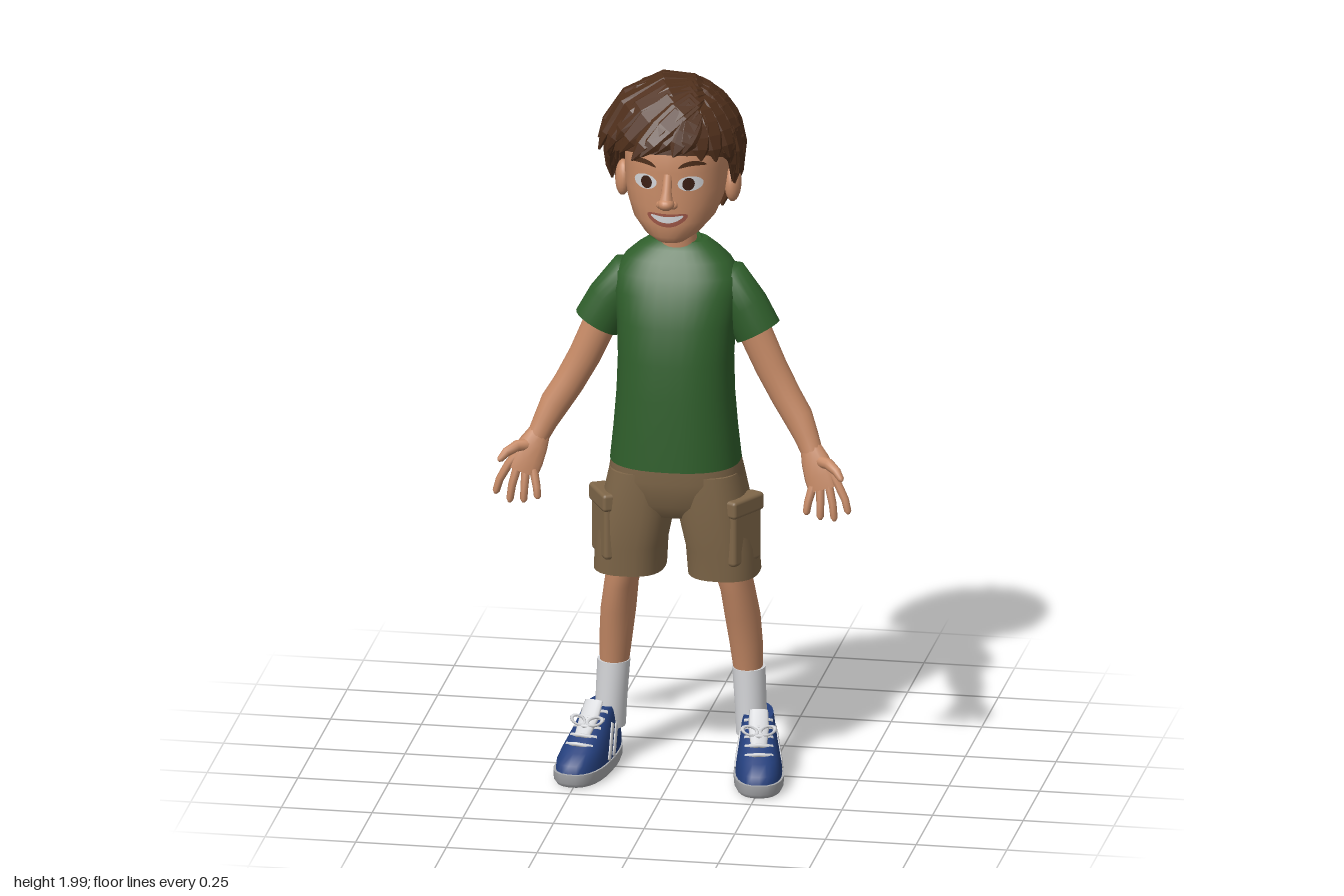
import * as THREE from 'three';
import { mergeGeometries } from 'three/addons/utils/BufferGeometryUtils.js';
import { RoundedBoxGeometry } from 'three/addons/geometries/RoundedBoxGeometry.js';

const mat = (name, color, side = THREE.FrontSide) => {
  const m = new THREE.MeshStandardMaterial({ color, side });
  m.name = name;
  return m;
};
const V = (x, y, z) => new THREE.Vector3(x, y, z);

// linear interpolation in a table whose first column is the key
function at(table, key) {
  let i = 0;
  while (i < table.length - 2 && key > table[i + 1][0]) i++;
  const a = table[i], b = table[i + 1];
  const t = THREE.MathUtils.clamp((key - a[0]) / (b[0] - a[0]), 0, 1);
  return a.map((v, k) => v + (b[k] - v) * t);
}

// skin over rings of points, with separate end caps
function loft(rings) {
  const n = rings[0].length, pos = [], idx = [];
  rings.forEach(r => r.forEach(p => pos.push(p.x, p.y, p.z)));
  for (let i = 0; i < rings.length - 1; i++) for (let j = 0; j < n; j++) {
    const a = i * n + j, b = i * n + (j + 1) % n;
    idx.push(a, a + n, b, b, a + n, b + n);
  }
  [rings[0], rings[rings.length - 1]].forEach((r, end) => {
    const base = pos.length / 3, c = V(0, 0, 0);
    r.forEach(p => { pos.push(p.x, p.y, p.z); c.addScaledVector(p, 1 / n); });
    pos.push(c.x, c.y, c.z);
    for (let j = 0; j < n; j++) {
      const a = base + j, b = base + (j + 1) % n;
      idx.push(...(end ? [base + n, b, a] : [base + n, a, b]));
    }
  });
  const g = new THREE.BufferGeometry();
  g.setAttribute('position', new THREE.Float32BufferAttribute(pos, 3));
  g.setIndex(idx);
  g.computeVertexNormals();
  return g;
}
function ring(c, u, v, p, n) {
  const f = t => Math.sign(t) * Math.abs(t) ** (2 / p);
  return Array.from({ length: n }, (_, j) => {
    const a = j / n * Math.PI * 2;
    return c.clone().addScaledVector(u, f(Math.cos(a))).addScaledVector(v, f(Math.sin(a)));
  });
}
// horizontal sections [y, centre x, front z, back z, half width], bottom to top
const stack = (secs, s = 1, p = 2.2, n = 28) => loft(secs.map(([y, x, f, b, r]) =>
  ring(V(x * s, y, (f + b) / 2), V(r, 0, 0), V(0, 0, (f - b) / 2), p, n)));

// sections [x, y, z, width, depth] square to a path; depth follows the hint
function limb(pts, hint = V(0, 0, 1), n = 12) {
  const c = pts.map(p => V(p[0], p[1], p[2]));
  return loft(pts.map((p, i) => {
    const t = c[Math.min(i + 1, c.length - 1)].clone().sub(c[Math.max(i - 1, 0)]).normalize();
    const h = typeof hint === 'function' ? hint(i) : hint;
    const v = h.clone().addScaledVector(t, -h.dot(t)).normalize();
    return ring(c[i], t.clone().cross(v).multiplyScalar(p[3]), v.multiplyScalar(p[4]), 2, n);
  }));
}

const HEAD = [[1.553, 0, .125, .03, .04], [1.575, 0, .147, -.03, .075], [1.615, 0, .15, -.09, .112],
  [1.66, 0, .15, -.13, .13], [1.70, 0, .15, -.15, .138], [1.76, 0, .148, -.16, .141],
  [1.82, 0, .148, -.16, .14], [1.88, 0, .12, -.14, .12], [1.93, 0, .05, -.08, .07]];
const UPPER = [[.03, 0, .205, -.14, .072], [.06, 0, .2, -.142, .07], [.085, 0, .165, -.14, .066],
  [.11, 0, .115, -.137, .062], [.14, 0, .06, -.135, .058], [.165, 0, .015, -.132, .054]];
const shoeTaper = z => .82 + 1.1 * z;

// patch bent onto the face
function facePatch(w, h, bend, x, y, tilt, off) {
  const g = new THREE.RingGeometry(0.001, 1, 28, 5), p = g.attributes.position;
  for (let i = 0; i < p.count; i++) {
    const a = p.getX(i), dx = a * w, dy = p.getY(i) * h + bend * a * a;
    const px = x + dx * Math.cos(tilt) - dy * Math.sin(tilt);
    const py = y + dx * Math.sin(tilt) + dy * Math.cos(tilt);
    const [, , f, b, r] = at(HEAD, py);
    const q = Math.min(1, Math.abs(px / r)) ** 2.2;
    p.setXYZ(i, px, py, (f + b) / 2 + (f - b) / 2 * (1 - q) ** (1 / 2.2) + off);
  }
  g.computeVertexNormals();
  return g;
}

// hair surface: unit direction to a point on the hair volume
const hairDir = (az, e) => V(Math.sin(az) * Math.cos(e), Math.sin(e), Math.cos(az) * Math.cos(e));
const hairPoint = (d, off = 0) => V(-.01 + d.x * (.173 + off), 1.785 + d.y * ((d.y > 0 ? .185 : .3) + off),
  -.015 + d.z * (.175 + off));
const HAIRLINE = [[0, .17], [.7, .13], [1.15, 0], [1.4, -.33], [1.6, -.22], [1.85, -.4], [2.2, -.72], [3.15, -.8]];
const hairEdge = az => at(HAIRLINE, Math.abs(Math.atan2(Math.sin(az), Math.cos(az))))[1];

function hairCap() {
  const rows = 12, n = 48, pos = [], idx = [];
  for (let i = 0; i <= rows; i++) for (let j = 0; j < n; j++) {
    const az = j / n * Math.PI * 2, e = THREE.MathUtils.lerp(1.56, hairEdge(az), i / rows);
    pos.push(...hairPoint(hairDir(az, e)).toArray());
    if (i < rows) {
      const a = i * n + j, b = i * n + (j + 1) % n;
      idx.push(a, a + n, b, b, a + n, b + n);
    }
  }
  const g = new THREE.BufferGeometry();
  g.setAttribute('position', new THREE.Float32BufferAttribute(pos, 3));
  g.setIndex(idx);
  g.computeVertexNormals();
  return g;
}
// flat pointed lock lying on the hair surface
function lock(d0, d1, width, lift) {
  const prof = [.5, .95, 1.05, .95, .65, .06], dirs = [];
  const pts = prof.map((w, i) => {
    const t = i / 5, d = d0.clone().lerp(d1, t).normalize();
    dirs.push(d);
    const p = hairPoint(d, .004 + lift * t * t);
    return [p.x, p.y, p.z, width * w, .017 * Math.min(1, w + .15)];
  });
  const g = limb(pts, i => dirs[i], 6).toNonIndexed();
  g.computeVertexNormals();
  return g;
}
function hairLocks() {
  let seed = 7;
  const jit = k => { seed = (seed * 16807) % 2147483647; return (seed / 2147483647 - .5) * 2 * k; };
  const out = [];
  // nape and sides
  for (let i = 0; i < 15; i++) {
    const az = 1.75 + i / 14 * 2.78;
    out.push(lock(hairDir(az + jit(.1), .5), hairDir(az + jit(.08), hairEdge(az) - .03 + jit(.06)), .036, .006));
  }
  // back of the crown
  for (let i = 0; i < 12; i++) {
    const az = 1.5 + i / 11 * 3.3;
    out.push(lock(hairDir(az, 1.25), hairDir(az - .15 + jit(.12), -.15 + jit(.15)), .04, .014));
  }
  // long sweep from the parting to the right
  for (let i = 0; i < 13; i++) {
    const t = i / 12, root = V(.5, .85, .62 - 1.2 * t).normalize();
    out.push(lock(root, hairDir(.3 - 2.3 * t + jit(.06), .2 - .2 * t + jit(.08)), .042, .02 + jit(.012)));
  }
  // short sweep to the left
  for (let i = 0; i < 7; i++) {
    const t = i / 6, root = V(.48, .85, .6 - 1.1 * t).normalize();
    out.push(lock(root, hairDir(.55 + 1.5 * t + jit(.06), .08 + jit(.1)), .04, .012));
  }
  // temples
  for (const s of [1, -1]) for (let i = 0; i < 3; i++)
    out.push(lock(hairDir(s * (1.1 + i * .16), .4), hairDir(s * (1.2 + i * .13), -.06 - .13 * i), .026, .0));
  return mergeGeometries(out);
}

export function createModel() {
  const root = new THREE.Group();
  root.name = 'boy';
  const M = {
    skin: mat('skin', 0xc68a66), hair: mat('brown hair', 0x4f2f1b, THREE.DoubleSide), shirt: mat('green cloth', 0x2f5e2b),
    shorts: mat('khaki cloth', 0x7f6749), shoe: mat('blue fabric', 0x243f7c), white: mat('white', 0xd2d3d6),
    sole: mat('grey rubber', 0xa9aaad), dark: mat('dark brown', 0x3a1e14), lip: mat('lips', 0x9c5646),
  };
  const add = (name, geo, m, parent = root) => {
    const mesh = new THREE.Mesh(geo, m);
    mesh.name = name;
    parent.add(mesh);
    return mesh;
  };
  const ball = (name, m, x, y, z, a, b, c) => {
    const o = add(name, new THREE.SphereGeometry(1, 18, 12), m);
    o.position.set(x, y, z);
    o.scale.set(a, b, c);
    return o;
  };

  // head and face
  add('head', stack(HEAD), M.skin);
  add('neck', stack([[1.44, 0, .03, -.08, .062], [1.5, 0, .026, -.068, .05], [1.61, 0, .04, -.07, .05]]), M.skin);
  add('noseBridge', limb([[0, 1.755, .142, .012, .01], [0, 1.71, .157, .014, .014], [0, 1.68, .168, .02, .016]]), M.skin);
  ball('noseTip', M.skin, 0, 1.678, .166, .023, .018, .024);
  add('lips', facePatch(.056, .019, .014, 0, 1.626, 0, .003), M.lip);
  add('teeth', facePatch(.045, .009, .012, 0, 1.629, 0, .006), M.white);
  for (const s of [1, -1]) {
    add('eyeWhite', facePatch(.033, .021, 0, s * .062, 1.732, 0, .003), M.white);
    add('iris', facePatch(.016, .018, 0, s * .058, 1.732, 0, .006), M.dark);
    add('eyebrow', facePatch(.036, .007, -.01, s * .066, 1.79, s * .06, .006), M.hair);
    ball('nostril', M.skin, s * .018, 1.672, .154, .012, .011, .014);
    ball('ear', M.skin, s * .152, 1.687, -.016, .021, .05, .029).rotation.set(-.15, s * -.3, 0);
  }
  add('hairCap', hairCap(), M.hair);
  add('hairLocks', hairLocks(), M.hair);

  // shirt and shorts
  add('shirtBody', stack([[.905, 0, .16, -.13, .178], [1.0, 0, .156, -.121, .168], [1.1, 0, .15, -.115, .16],
    [1.2, 0, .142, -.115, .157], [1.3, 0, .126, -.115, .162], [1.38, 0, .1, -.111, .172], [1.43, 0, .076, -.107, .172],
    [1.47, 0, .055, -.1, .145], [1.5, 0, .036, -.09, .11], [1.518, 0, .012, -.083, .08]], 1, 2.4, 36), M.shirt);
  const collar = add('collar', new THREE.TorusGeometry(.06, .008, 8, 28), M.shirt);
  collar.position.set(0, 1.508, -.025);
  collar.rotation.x = Math.PI / 2 + .3;
  add('shortsSeat', stack([[.75, 0, .085, -.08, .1], [.79, 0, .115, -.105, .17], [.86, 0, .13, -.115, .185],
    [.94, 0, .13, -.11, .172]], 1, 2.5), M.shorts);

  for (const s of [1, -1]) {
    const X = pts => pts.map(([x, ...r]) => [x * s, ...r]);
    add('sleeve', limb(X([[.07, 1.415, -.025, .05, .05], [.135, 1.4, -.024, .068, .064], [.185, 1.335, -.016, .066, .06],
      [.222, 1.268, -.012, .066, .056]]), undefined, 20), M.shirt);
    add('shortsLeg', stack([[.58, .13, .1, -.12, .097], [.66, .125, .108, -.116, .097], [.76, .107, .12, -.113, .1],
      [.88, .092, .12, -.11, .088]], s, 2.5), M.shorts);
    // cargo pocket with flap
    const pocket = new THREE.Group();
    pocket.name = 'cargoPocket';
    pocket.position.set(s * .19, .72, .05);
    pocket.rotation.y = -s * .5;
    root.add(pocket);
    add('pocketBag', new RoundedBoxGeometry(.04, .17, .12, 2, .012), M.shorts, pocket).position.y = -.01;
    add('pocketFlap', new RoundedBoxGeometry(.052, .05, .13, 2, .01), M.shorts, pocket).position.y = .07;

    // bare arm and hand
    add('arm', limb(X([[.195, 1.31, -.012, .045, .042], [.217, 1.26, -.012, .046, .042], [.257, 1.17, -.012, .044, .04],
      [.3, 1.09, -.006, .042, .038], [.335, 1.035, .004, .041, .036], [.36, .985, .017, .034, .029],
      [.378, .945, .03, .03, .024]]), undefined, 18), M.skin);
    add('palm', limb(X([[.372, .96, .026, .029, .023], [.388, .925, .038, .04, .023], [.405, .885, .05, .046, .02],
      [.417, .85, .06, .044, .014]])), M.skin);
    for (let i = 0; i < 4; i++) {
      const x = .382 + i * .024, y = .845 + i * .008, len = [.065, .085, .095, .08][i], dx = -.008 + i * .01;
      add('finger', limb(X([[x - dx, y + .03, .052, .012, .011], [x, y, .06, .012, .012],
        [x + dx, y - len * .5, .07, .011, .011], [x + dx * 1.4, y - len * .9, .075, .01, .01],
        [x + dx * 1.5, y - len, .076, .004, .004]]), undefined, 8), M.skin);
    }
    add('thumb', limb(X([[.395, .925, .04, .018, .017], [.43, .925, .065, .016, .015], [.455, .912, .085, .013, .012],
      [.47, .895, .098, .009, .009], [.474, .89, .1, .003, .003]]), undefined, 10), M.skin);

    // leg and sock
    add('leg', stack([[.27, .185, -.025, -.11, .039], [.36, .179, -.01, -.118, .045], [.44, .171, .01, -.12, .048],
      [.52, .16, .03, -.11, .046], [.6, .142, .045, -.1, .05], [.68, .125, .05, -.1, .06]], s, 2), M.skin);
    add('sock', stack([[.1, .197, -.01, -.115, .044], [.18, .192, -.014, -.113, .043], [.288, .186, -.018, -.117, .045]], s, 2), M.white);

    // shoe, toes turned out
    const shoe = new THREE.Group();
    shoe.name = 'shoe';
    shoe.position.set(s * .225, 0, 0);
    shoe.rotation.y = s * .19;
    root.add(shoe);
    const taper = g => {
      const p = g.attributes.position;
      for (let i = 0; i < p.count; i++) p.setX(i, p.getX(i) * shoeTaper(p.getZ(i)));
      g.computeVertexNormals();
      return g;
    };
    add('shoeUpper', taper(stack(UPPER, 1, 2.4)), M.shoe, shoe);
    add('shoeSole', taper(stack([[0, 0, .2, -.138, .07], [.012, 0, .21, -.146, .076], [.038, 0, .212, -.146, .077]], 1, 2.4)), M.sole, shoe);
    add('tongue', limb([[0, .115, .1, .022, .008], [0, .15, .048, .028, .01], [0, .188, .008, .026, .007]]), M.white, shoe);
    for (const y of [.098, .114, .13, .146, .16]) {
      const f = at(UPPER, y)[2];
      add('lace', limb([[-.036, y - .004, f - .022, .006, .006], [0, y + .008, f + .005, .006, .006],
        [.036, y - .004, f - .022, .006, .006]], V(0, 0, 1), 8), M.white, shoe);
    }
    for (const k of [1, -1]) {
      const loop = add('laceLoop', new THREE.TorusGeometry(.018, .005, 6, 14), M.white, shoe);
      loop.position.set(k * .024, .148, .066);
      loop.rotation.set(-.8, 0, k * .4);
      loop.scale.set(1.2, .7, 1);
      // slanted side stripes
      for (const z0 of [.06, .02]) add('sideStripe', limb([0, 1, 2, 3, 4].map(i => {
        const y = .04 + i * .021, z = z0 - i * .016, [, , f, b, r] = at(UPPER, y);
        const q = Math.abs((z - (f + b) / 2) / ((f - b) / 2)) ** 2.4;
        return [k * r * (1 - q) ** (1 / 2.4) * shoeTaper(z), y, z, .011, .004];
      }), V(k, 0, 0), 8), M.white, shoe);
    }
    add('heelTab', limb([[0, .05, -.142, .02, .004], [0, .15, -.135, .018, .004]]), M.white, shoe);
  }
  return root;
}
